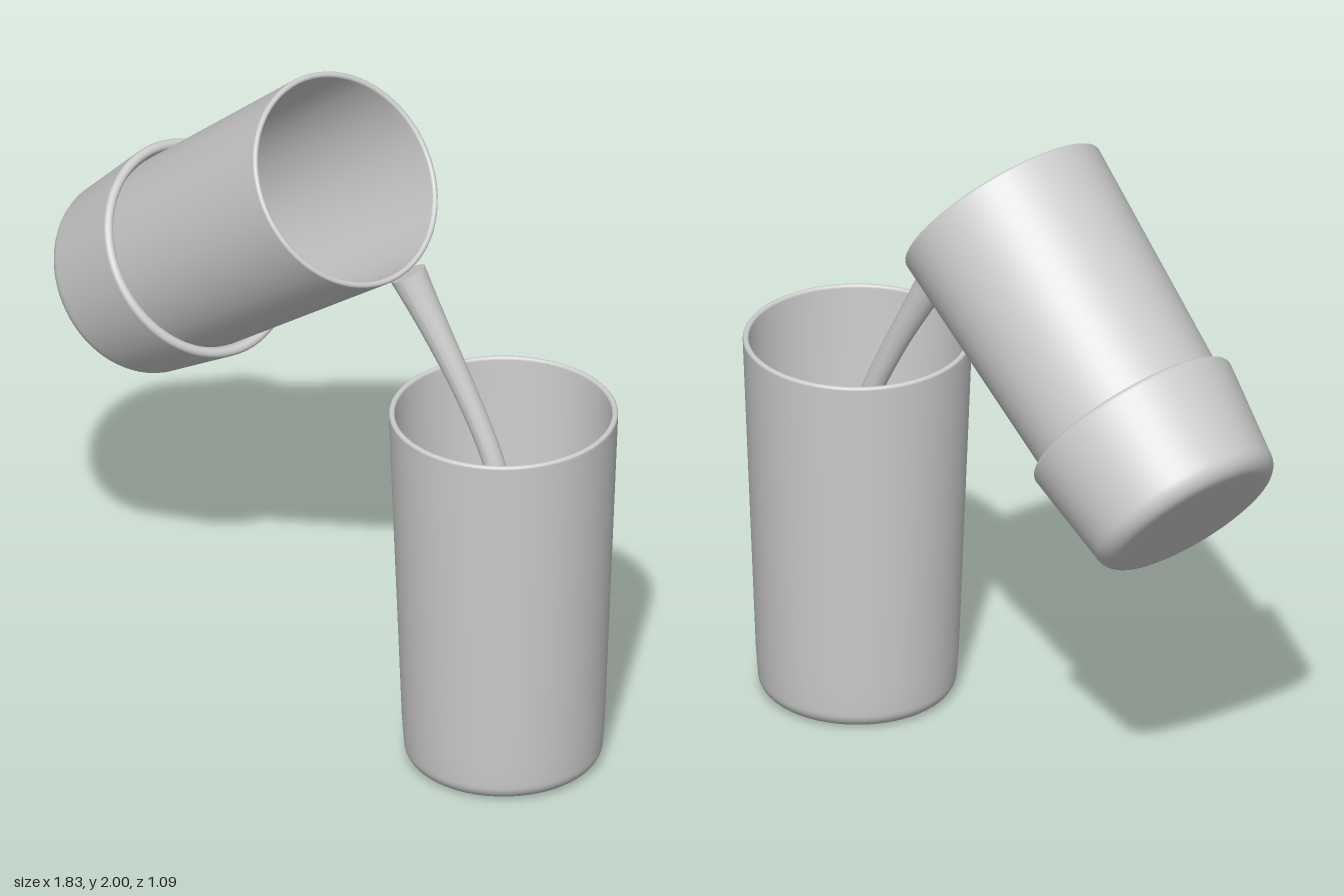
import * as THREE from 'three';

const grey = new THREE.MeshStandardMaterial({ color: 0xcccccc });
grey.name = 'light grey';

function mesh(name, geometry) {
  const m = new THREE.Mesh(geometry, grey);
  m.name = name;
  return m;
}

// Revolve a profile of [radius, height] pairs, listed from the bottom up the outside
function lathe(name, pairs) {
  return mesh(name, new THREE.LatheGeometry(pairs.map(([r, y]) => new THREE.Vector2(r, y)), 72));
}

// Rounded corner points from the flat bottom to the outer wall
function roundedFoot(r, y, c) {
  const pts = [[0, y], [r - c - 0.01, y]];
  for (let i = 0; i <= 8; i++) {
    const a = (i / 8) * Math.PI / 2;
    pts.push([r - c + c * Math.sin(a), y + c - c * Math.cos(a)]);
  }
  return pts;
}

// Half-round lip from the outer wall over to the inner wall
function roundedLip(rOuter, thickness, top) {
  const c = thickness / 2, pts = [];
  for (let i = 0; i <= 8; i++) {
    const a = (i / 8) * Math.PI;
    pts.push([rOuter - c + c * Math.cos(a), top - c + c * Math.sin(a)]);
  }
  return pts;
}

function cup(name, height, rTop, rFoot) {
  return lathe(name, [
    ...roundedFoot(rFoot, 0, 0.05),
    [rFoot + 0.006, 0.13],
    ...roundedLip(rTop, 0.018, height),
    [rFoot - 0.016, 0.1], [rFoot - 0.05, 0.03], [0, 0.03],
  ]);
}

// Tube whose radius varies along its length, with flat ends
function taperedStream(curve, radiusAt) {
  const group = new THREE.Group();
  const seg = 40, sides = 24;
  const geo = new THREE.TubeGeometry(curve, seg, 1, sides);
  const p = geo.attributes.position, v = new THREE.Vector3();
  for (let i = 0; i <= seg; i++) {
    const c = curve.getPointAt(i / seg), r = radiusAt(i / seg);
    for (let j = 0; j <= sides; j++) {
      const k = i * (sides + 1) + j;
      v.fromBufferAttribute(p, k).sub(c).multiplyScalar(r).add(c);
      p.setXYZ(k, v.x, v.y, v.z);
    }
  }
  geo.computeVertexNormals();
  group.add(mesh('streamBody', geo));
  for (const t of [0, 1]) {
    const cap = mesh('streamEnd', new THREE.CircleGeometry(radiusAt(t), sides));
    const dir = curve.getTangentAt(t).multiplyScalar(t ? 1 : -1);
    cap.quaternion.setFromUnitVectors(new THREE.Vector3(0, 0, 1), dir);
    cap.position.copy(curve.getPointAt(t));
    group.add(cap);
  }
  group.name = 'pouringStream';
  return group;
}

export function createModel() {
  const model = new THREE.Group();
  model.name = 'pouringCups';

  // Upright receiving cup with its drink
  const lower = new THREE.Group();
  lower.name = 'receivingCup';
  lower.position.set(0.585, 0, 0.228);
  lower.add(cup('cupBody', 1.14, 0.332, 0.288));
  const drink = mesh('drinkSurface', new THREE.CircleGeometry(0.304, 64));
  drink.rotation.x = -Math.PI / 2;
  drink.position.y = 0.78;
  lower.add(drink);
  model.add(lower);

  // Tilted pouring cup with a sleeve around its base
  const upper = new THREE.Group();
  upper.name = 'pouringCup';
  const axis = new THREE.Vector3(0.717, 0.614, 0.33).normalize();
  upper.quaternion.setFromUnitVectors(new THREE.Vector3(0, 1, 0), axis);
  upper.position.set(0.06, 1.745, 0.1).addScaledVector(axis, -1.09);
  upper.add(cup('cupBody', 1.09, 0.325, 0.28));
  upper.add(lathe('sleeve', [
    ...roundedFoot(0.295, -0.015, 0.06),
    ...roundedLip(0.329, 0.03, 0.345),
    [0.285, 0.3],
  ]));
  model.add(upper);

  // Liquid falling from the lip into the lower cup
  const path = new THREE.CatmullRomCurve3([
    new THREE.Vector3(0.262, 1.492, 0.143),
    new THREE.Vector3(0.355, 1.325, 0.157),
    new THREE.Vector3(0.447, 1.15, 0.17),
    new THREE.Vector3(0.53, 0.965, 0.183),
    new THREE.Vector3(0.585, 0.775, 0.192),
  ]);
  model.add(taperedStream(path, (t) => 0.031 + 0.024 * Math.pow(1 - t, 3) + 0.006 * Math.pow(t, 8)));

  return model;
}
